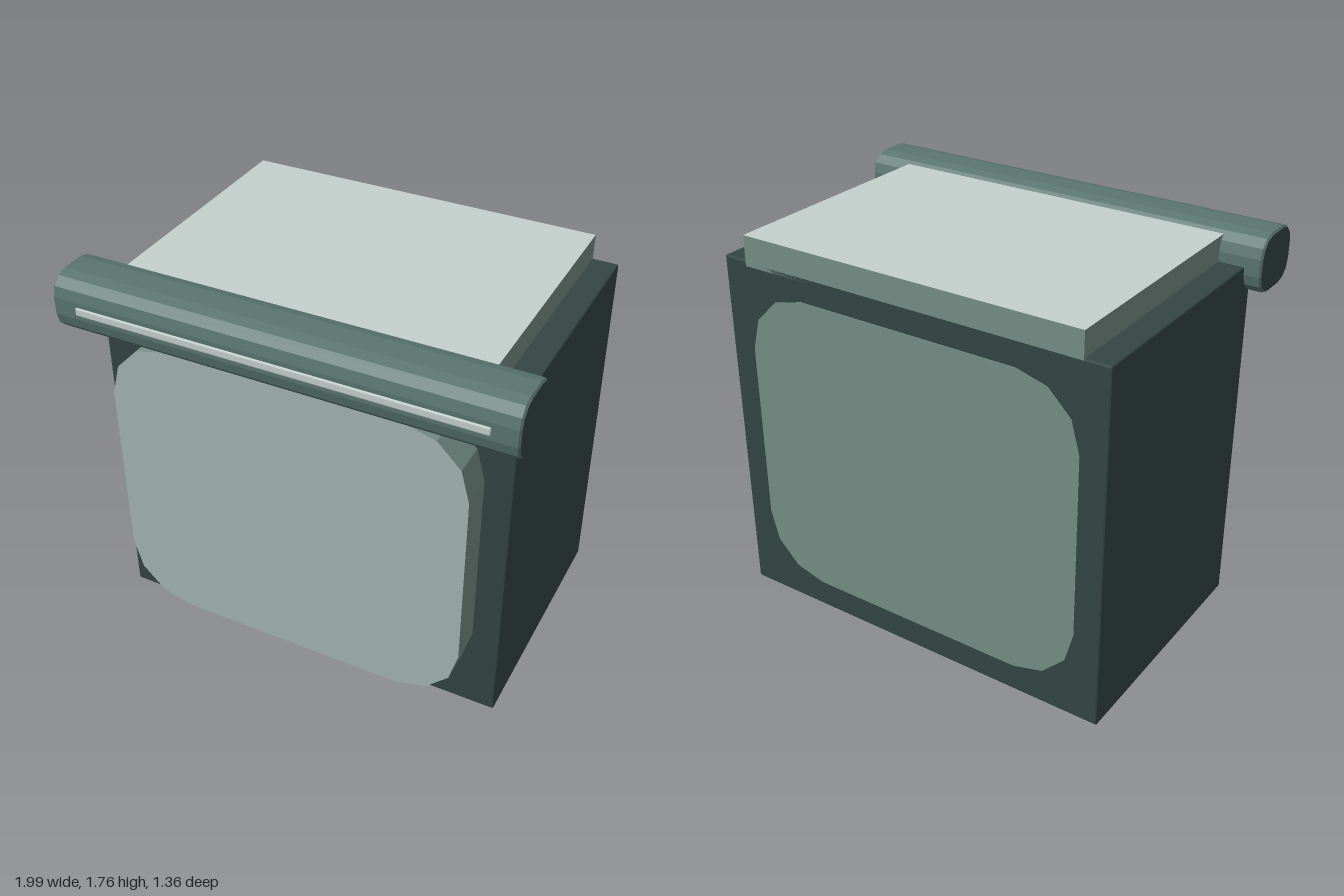
import * as THREE from 'three';
import { RoundedBoxGeometry } from 'three/addons/geometries/RoundedBoxGeometry.js';

const mat = (color) => new THREE.MeshStandardMaterial({ color, flatShading: true });
const dark = mat(0x334644), teal = mat(0x5a7570), sage = mat(0x778f88);
const mist = mat(0xa5b7b3), pale = mat(0xc5d0cc);

// Rectangle whose corners are quarter circles of three straight facets
function facetedRect(w, h, r) {
  const pts = [];
  for (let c = 0; c < 4; c++) {
    const cx = (c === 0 || c === 3 ? 1 : -1) * (w / 2 - r);
    const cy = (c < 2 ? 1 : -1) * (h / 2 - r);
    for (let i = 0; i <= 3; i++) {
      const a = (c + i / 3) * Math.PI / 2;
      pts.push(new THREE.Vector2(cx + r * Math.cos(a), cy + r * Math.sin(a)));
    }
  }
  return new THREE.Shape(pts);
}

export function createModel() {
  const model = new THREE.Group();
  model.name = 'cabinet';

  const add = (name, geometry, material, x, y, z) => {
    const mesh = new THREE.Mesh(geometry, material);
    mesh.name = name;
    mesh.position.set(x, y, z);
    model.add(mesh);
    return mesh;
  };

  // Main box with slightly softened edges
  add('body', new RoundedBoxGeometry(1.84, 1.625, 1.14, 1, 0.008), dark, 0, 0.8125, -0.11);

  // Faceted core running through the body: lighter face in front, flush at the back
  const core = new THREE.ExtrudeGeometry(facetedRect(1.6, 1.385, 0.283),
    { depth: 1.293, bevelEnabled: false });
  const coreBack = add('frontPanel', core, [mist, sage], 0, 0.8175, -0.682);
  coreBack.geometry.translate(0, 0, 0);
  // Back face of the core in the side colour
  const back = new THREE.ShapeGeometry(facetedRect(1.6, 1.385, 0.283));
  add('backPanel', back, sage, 0, 0.8175, -0.683).rotation.y = Math.PI;

  // Raised lid: box faces are +x, -x, +y, -y, +z, -z
  add('lid', new THREE.BoxGeometry(1.61, 0.135, 1.12),
    [sage, sage, pale, sage, sage, sage], 0, 1.6675, -0.12);

  // Faceted bar across the top front edge, with dark ends
  const bevel = 0.008;
  const bar = new THREE.ExtrudeGeometry(facetedRect(0.283, 0.256, 0.09), {
    depth: 1.99 - 2 * bevel, bevelSize: bevel, bevelThickness: bevel,
    bevelOffset: -bevel, bevelSegments: 1,
  });
  bar.translate(0, 0, -(1.99 - 2 * bevel) / 2);
  bar.rotateY(Math.PI / 2);
  add('topBar', bar, [dark, teal], 0, 1.632, 0.531);

  // Thin light strip let into the bar
  add('barStrip', new RoundedBoxGeometry(1.77, 0.036, 0.04, 1, 0.006), pale, 0, 1.632, 0.66);

  return model;
}
